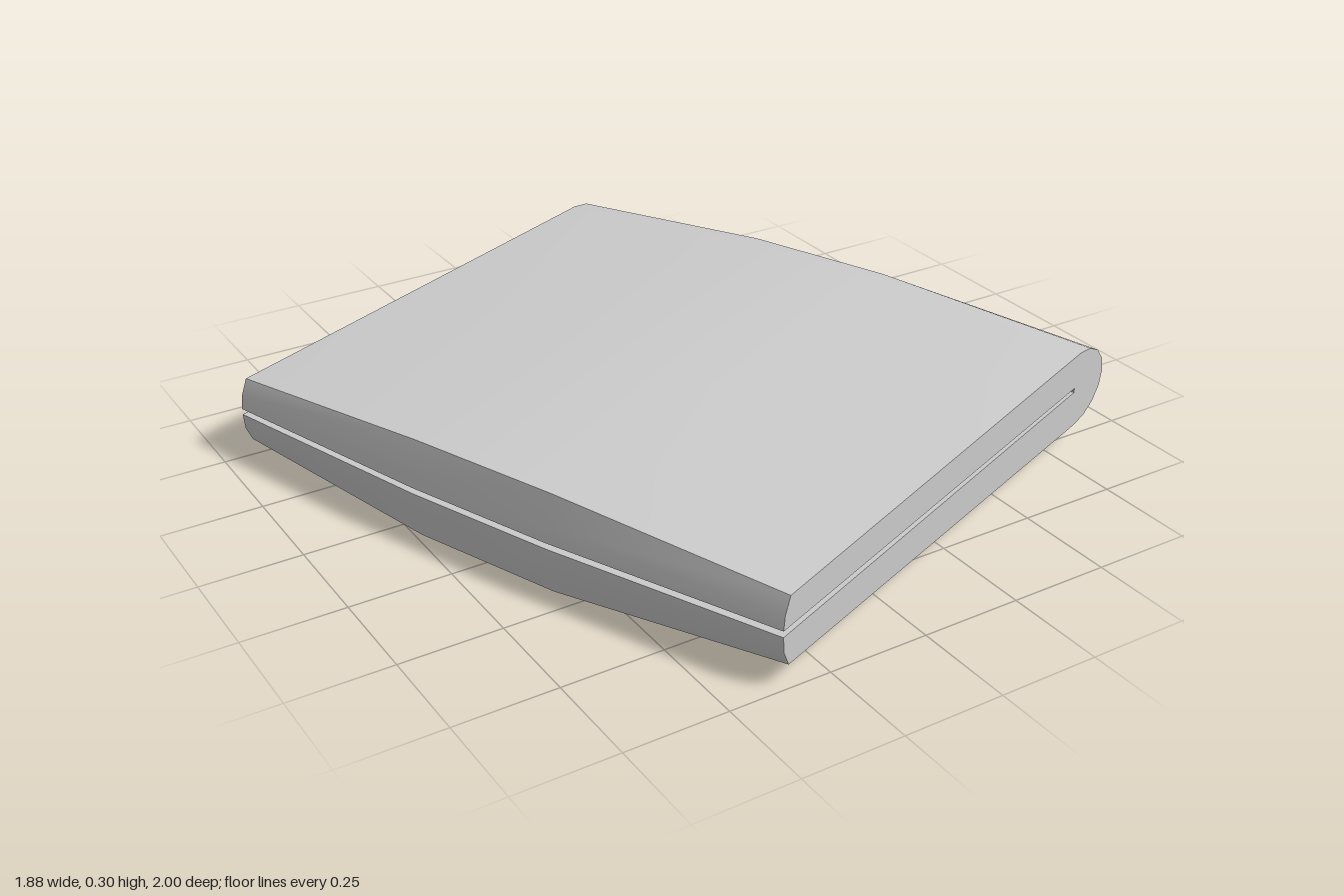
import * as THREE from 'three';
import { toCreasedNormals } from 'three/addons/utils/BufferGeometryUtils.js';

// Cross-section of the folded cover: two flaps joined by a round fold.
// b is the bulge, 0 at the ends and 1 in the middle.
function section(b) {
  const s = 0.03 * b, pts = [];
  // upper flap edge
  pts.push([-0.702 - s, 0.14], [-0.698 - s, 0.175], [-0.68 - s, 0.215 + 0.04 * b]);
  // round fold
  const segs = 8, r = 0.1 + 0.045 * b;
  for (let i = 0; i <= segs; i++) {
    const a = Math.PI / 2 - Math.PI * i / segs;
    pts.push([0.57 + 0.135 * Math.cos(a), 0.157 + r * Math.sin(a)]);
  }
  // lower flap edge
  pts.push([-0.68 - s, 0.047 - 0.043 * b], [-0.698 - s, 0.085], [-0.702 - s, 0.125]);
  // inner slit
  pts.push([0.553, 0.155], [0.553, 0.166]);
  return pts;
}

function coverGeometry() {
  const stations = [[-0.803, 0], [-0.2, 1], [0.2, 1], [0.803, 0]];
  const rings = stations.map(([, b]) => section(b));
  const n = rings[0].length;
  const pos = [], idx = [];
  rings.forEach((ring, j) => {
    const v = stations[j][0];
    for (const [u, y] of ring) pos.push(u, y + 0.01 * v, v);
  });
  // skin between neighbouring sections
  for (let j = 0; j < rings.length - 1; j++) {
    for (let i = 0; i < n; i++) {
      const k = (i + 1) % n;
      const a = j * n + i, b = a + n, c = (j + 1) * n + k, d = j * n + k;
      idx.push(a, b, c, a, c, d);
    }
  }
  // flat end caps
  const outline = rings[0].map(([u, y]) => new THREE.Vector2(u, y)).reverse();
  const last = (rings.length - 1) * n;
  for (const tri of THREE.ShapeUtils.triangulateShape(outline, [])) {
    const [a, b, c] = tri.map((t) => n - 1 - t);
    idx.push(last + a, last + b, last + c, a, c, b);
  }
  const g = new THREE.BufferGeometry();
  g.setAttribute('position', new THREE.Float32BufferAttribute(pos, 3));
  g.setIndex(idx);
  return toCreasedNormals(g, 0.6);
}

export function createModel() {
  const group = new THREE.Group();
  group.name = 'foldedWallet';
  const cover = new THREE.Mesh(
    coverGeometry(),
    new THREE.MeshStandardMaterial({ color: 0xcccccc })
  );
  cover.name = 'foldedCover';
  // lies turned on the ground
  cover.rotation.y = 0.362;
  group.add(cover);
  return group;
}
